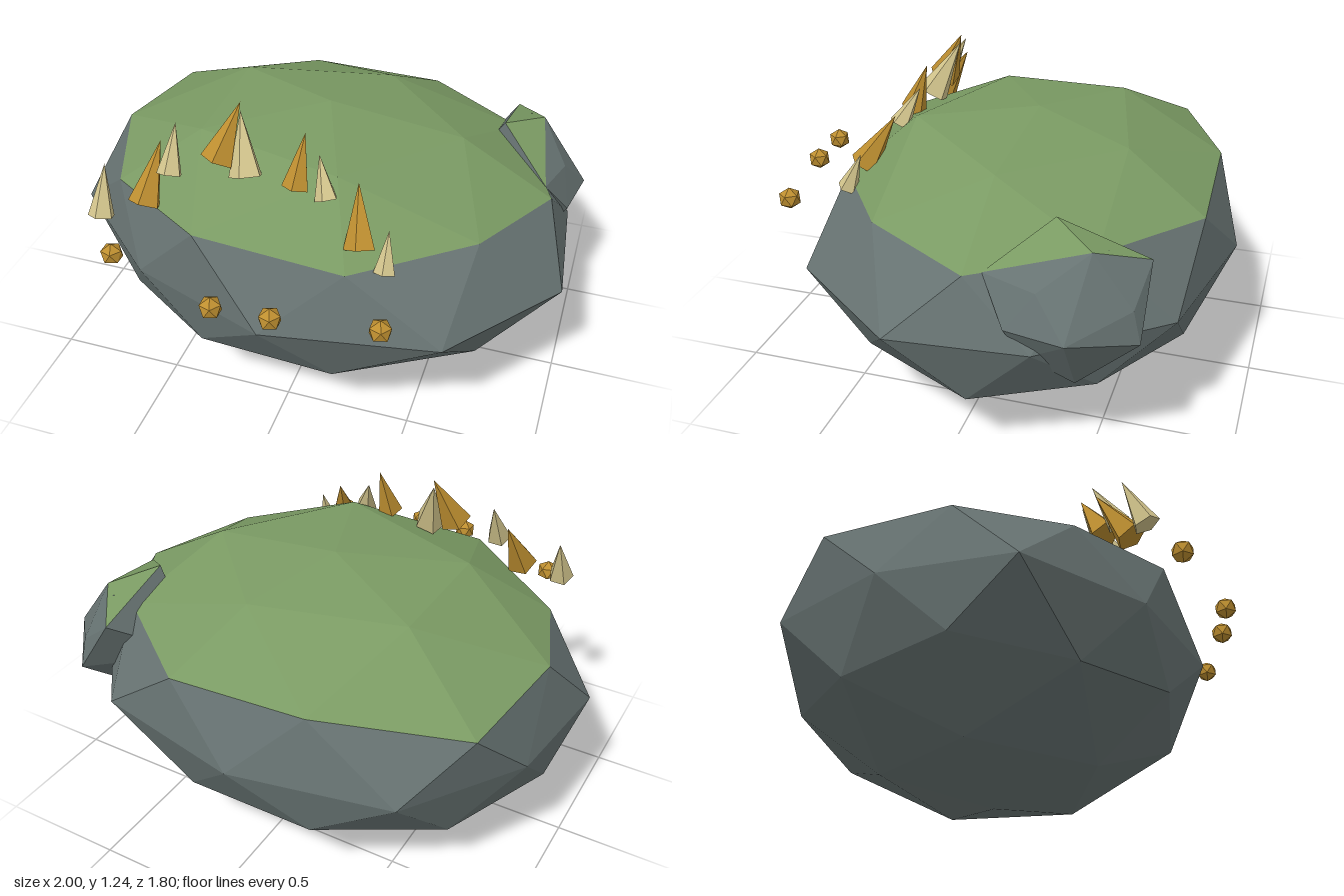
import * as THREE from 'three';
import { ConvexGeometry } from 'three/addons/geometries/ConvexGeometry.js';

const paint = (name, color) => {
  const m = new THREE.MeshStandardMaterial({ color, flatShading: true });
  m.name = name;
  return m;
};

// Icosphere with a vertex pointing straight up
function uprightIcosphere(radius, detail) {
  const g = new THREE.IcosahedronGeometry(radius, detail);
  g.rotateX(-Math.atan((1 + Math.sqrt(5)) / 2));
  g.rotateY(Math.PI / 2);
  return g;
}

// Split a triangle soup into stone and moss: moss where a whole face lies above a height
function mossyRock(name, geometry, mossHeight, stone, moss) {
  const p = geometry.attributes.position;
  const faces = { stone: [], moss: [] };
  for (let i = 0; i < p.count; i += 3) {
    const low = Math.min(p.getY(i), p.getY(i + 1), p.getY(i + 2));
    const list = low > mossHeight ? faces.moss : faces.stone;
    for (let k = i; k < i + 3; k++) list.push(p.getX(k), p.getY(k), p.getZ(k));
  }
  const group = new THREE.Group();
  group.name = name;
  for (const [part, mat] of [['stone', stone], ['moss', moss]]) {
    const g = new THREE.BufferGeometry();
    g.setAttribute('position', new THREE.Float32BufferAttribute(faces[part], 3));
    g.computeVertexNormals();
    const mesh = new THREE.Mesh(g, mat);
    mesh.name = name + (part === 'moss' ? 'Moss' : 'Stone');
    group.add(mesh);
  }
  return group;
}

// Boulder: squashed icosphere whose nearest corners are pulled to a few irregular points
function boulderGeometry() {
  const g = uprightIcosphere(1, 1);
  g.scale(1.02, 0.52, 0.83);
  g.translate(-0.02, 0.55, -0.08);
  const pulls = [
    // equator
    [-0.02, 0.55, -0.9], [0.6, 0.55, -0.77], [1, 0.55, 0.18], [0.64, 0.55, 0.64], [-0.02, 0.55, 0.76],
    [-0.58, 0.55, 0.56], [-1, 0.55, 0.17], [-0.94, 0.55, -0.33], [-0.64, 0.55, -0.77],
    // moss rim
    [-0.29, 0.82, -0.78], [0.27, 0.8, -0.8], [-0.83, 0.78, -0.56], [-0.9, 0.82, -0.08], [-0.75, 0.79, 0.33],
    [-0.31, 0.84, 0.63], [0.27, 0.79, 0.62], [0.69, 0.82, 0.33],
    // crown
    [-0.01, 1.05, -0.09], [0.53, 0.99, -0.08], [0.16, 1.02, 0.36], [0.14, 0.98, -0.48],
    // underside
    [-0.02, 0, -0.08], [-0.62, 0.07, -0.08], [0.42, 0.1, 0.18], [0.42, 0.1, -0.34], [0.88, 0.27, -0.08],
    [-0.93, 0.32, -0.08], [-0.31, 0.32, 0.62], [0.22, 0.28, 0.61], [-0.17, 0.1, 0.34], [-0.17, 0.11, -0.5],
  ].map((a) => new THREE.Vector3(...a));
  const p = g.attributes.position;
  const original = Array.from({ length: p.count }, (_, i) => new THREE.Vector3().fromBufferAttribute(p, i));
  for (const t of pulls) {
    const near = original.reduce((a, b) => (b.distanceTo(t) < a.distanceTo(t) ? b : a));
    original.forEach((v, i) => {
      if (v.distanceTo(near) < 1e-3) p.setXYZ(i, t.x, t.y, t.z);
    });
  }
  return g;
}

export function createModel() {
  const stone = paint('stone', 0x677372);
  const moss = paint('moss', 0x7a9a63);
  const gold = paint('gold', 0xbe8f30);
  const bone = paint('bone', 0xd2c48c);

  const model = new THREE.Group();
  model.name = 'mossyBoulder';
  model.add(mossyRock('boulder', boulderGeometry(), 0.7, stone, moss));

  // Lump jutting from the back left shoulder
  const lump = new ConvexGeometry([
    [0.99, 0.635, -0.46], [0.95, 0.635, -0.24], [0.81, 0.7, -0.65], [0.66, 0.82, -0.68], [0.82, 0.38, -0.46],
    [0.79, 0.885, -0.5], [0.86, 0.79, -0.14], [0.65, 0.925, -0.34], [0.91, 0.77, -0.34], [0.89, 0.5, -0.3],
    [0.82, 0.58, -0.68], [0.45, 0.6, -0.4],
  ].map((a) => new THREE.Vector3(...a)));
  model.add(mossyRock('shoulderLump', lump, 0.78, stone, moss));

  const pebble = new THREE.Mesh(uprightIcosphere(0.04, 0), stone);
  pebble.name = 'pebble';
  pebble.position.set(0.73, 0.83, -0.54);
  model.add(pebble);

  // Arc of leaning five-sided spikes: base centre, tip, radius
  const spikes = [
    [[-0.7, 0.8, 0.58], [-0.706, 0.985, 0.5], 0.052],
    [[-0.545, 0.85, 0.52], [-0.52, 1.06, 0.39], 0.064],
    [[-0.455, 0.97, 0.47], [-0.46, 1.14, 0.375], 0.05],
    [[-0.285, 1.03, 0.41], [-0.225, 1.235, 0.31], 0.066],
    [[-0.17, 0.99, 0.42], [-0.225, 1.2, 0.315], 0.066],
    [[0.025, 0.99, 0.43], [0.04, 1.185, 0.36], 0.053],
    [[0.145, 0.97, 0.44], [0.095, 1.11, 0.37], 0.045],
    [[0.3, 0.85, 0.53], [0.255, 1.05, 0.41], 0.062],
    [[0.4, 0.79, 0.56], [0.395, 0.935, 0.5], 0.042],
  ];
  spikes.forEach(([b, t, r], i) => {
    const base = new THREE.Vector3(...b);
    const axis = new THREE.Vector3(...t).sub(base);
    const h = axis.length();
    const g = new THREE.ConeGeometry(r, h, 5).toNonIndexed();
    g.translate(0, h / 2, 0);
    g.computeVertexNormals();
    const spike = new THREE.Mesh(g, i % 2 ? gold : bone);
    // the middle pair breaks the alternation nowhere: odd places are gold
    spike.name = 'spike' + (i + 1);
    spike.position.copy(base);
    spike.quaternion.setFromUnitVectors(new THREE.Vector3(0, 1, 0), axis.normalize());
    model.add(spike);
  });

  // Floating beads in front
  [[-0.605, 0.7], [-0.143, 0.86], [0.073, 0.85], [0.45, 0.79]].forEach(([x, z], i) => {
    const bead = new THREE.Mesh(uprightIcosphere(0.045, 0), gold);
    bead.name = 'bead' + (i + 1);
    bead.position.set(x, 0.735, z);
    model.add(bead);
  });
  return model;
}
